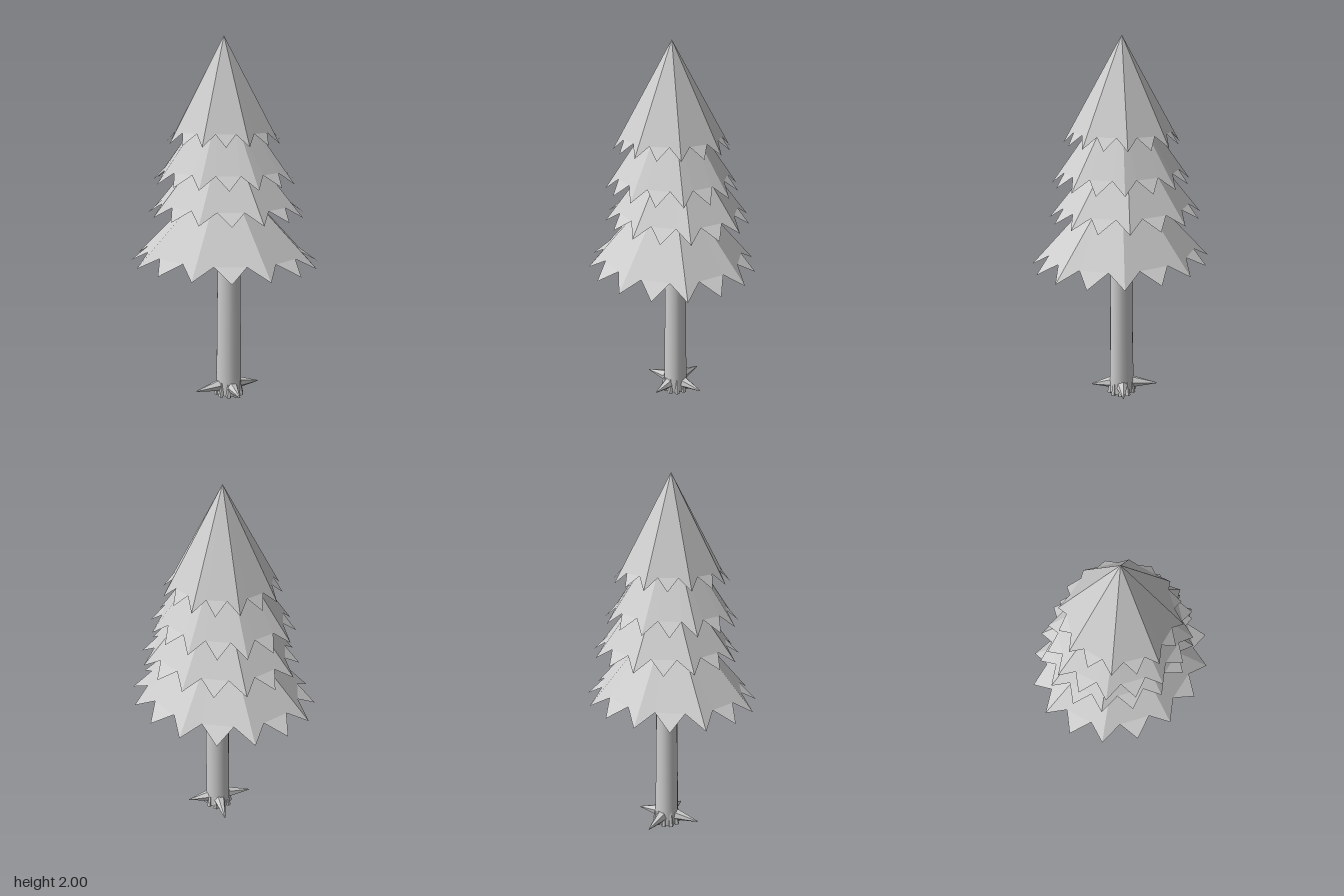
import * as THREE from 'three';

const grey = new THREE.MeshStandardMaterial({ color: 0xcccccc, side: THREE.DoubleSide });
grey.name = 'pale grey';
const greyFlat = grey; // the only colour

function addMesh(parent, geometry, name) {
  const mesh = new THREE.Mesh(geometry, greyFlat);
  mesh.name = name;
  parent.add(mesh);
  return mesh;
}

// Eight-sided open skirt with sixteen pointed tips on its rim
function skirt({ topY, topR, rimY, rx, rz, cz = 0, valleyY, valleyR }) {
  const pos = [];
  const ring = (k, r, y) => {
    const a = (k * Math.PI) / 16;
    return [Math.sin(a) * r * rx, y, cz + Math.cos(a) * r * rz];
  };
  const tri = (...pts) => pts.forEach((p) => pos.push(...p));
  for (let k = 0; k < 32; k += 4) {
    const top0 = ring(k, topR, topY), top1 = ring(k + 4, topR, topY);
    const tip0 = ring(k, 1, rimY), tip1 = ring(k + 4, 1, rimY);
    const mid = ring(k + 2, 1, rimY);
    const v0 = ring(k + 1, valleyR, valleyY), v1 = ring(k + 3, valleyR, valleyY);
    tri(top0, tip0, v0);
    tri(top0, v0, v1);
    tri(v0, mid, v1);
    if (topR > 0) {
      tri(top0, v1, top1);
      tri(top1, v1, tip1);
    } else tri(top0, v1, tip1);
  }
  const g = new THREE.BufferGeometry();
  g.setAttribute('position', new THREE.Float32BufferAttribute(pos, 3));
  g.computeVertexNormals();
  return g;
}

// Tapered straight limb between two points
function limb(a, b, ra, rb, sides = 6) {
  const from = new THREE.Vector3(...a), to = new THREE.Vector3(...b);
  const dir = to.clone().sub(from);
  const g = new THREE.CylinderGeometry(rb, ra, dir.length(), sides).toNonIndexed();
  g.applyQuaternion(new THREE.Quaternion().setFromUnitVectors(new THREE.Vector3(0, 1, 0), dir.normalize()));
  g.translate(...from.add(to).multiplyScalar(0.5).toArray());
  g.computeVertexNormals();
  return g;
}

export function createModel() {
  const model = new THREE.Group();
  model.name = 'pineTree';

  // Foliage, top to bottom
  const foliage = new THREE.Group();
  foliage.name = 'foliage';
  model.add(foliage);
  [
    { topY: 2, topR: 0, rimY: 1.45, rx: 0.31, rz: 0.31, valleyY: 1.51, valleyR: 0.84 },
    { topY: 1.63, topR: 0.25, rimY: 1.24, rx: 0.395, rz: 0.355, valleyY: 1.305, valleyR: 0.83 },
    { topY: 1.45, topR: 0.23, rimY: 1.06, rx: 0.435, rz: 0.39, cz: -0.03, valleyY: 1.12, valleyR: 0.83 },
    { topY: 1.2, topR: 0.23, rimY: 0.795, rx: 0.525, rz: 0.46, valleyY: 0.86, valleyR: 0.825 },
  ].forEach((tier, i) => addMesh(foliage, skirt(tier), `foliageTier${i + 1}`));

  // Trunk, slightly tapered and wider in x than in z
  const cx = 0.023, cz = -0.018;
  const trunk = new THREE.CylinderGeometry(0.06, 0.073, 1.23, 18, 1);
  trunk.scale(1, 1, 0.9).translate(cx, 0.625, cz);
  addMesh(model, trunk, 'trunk');

  // Four long roots
  const roots = new THREE.Group();
  roots.name = 'roots';
  model.add(roots);
  [[0.135, 0.11], [-0.12, 0.12], [0.155, -0.14], [-0.11, -0.17]].forEach(([x, z]) => {
    const mx = cx + (x - cx) * 0.3, mz = cz + (z - cz) * 0.3;
    addMesh(roots, limb([mx, 0.06, mz], [x, 0.048, z], 0.034, 0.003), 'root');
  });
  // Short toes around the foot
  for (let i = 0; i < 10; i++) {
    const a = ((i + 0.5) / 10) * Math.PI * 2;
    const s = Math.sin(a), c = Math.cos(a);
    addMesh(roots, limb([cx + s * 0.062, 0.1, cz + c * 0.055], [cx + s * 0.074, 0.004, cz + c * 0.068],
      0.008, 0.015, 5), 'rootToe');
  }

  // Broken branches under the foliage
  const branches = new THREE.Group();
  branches.name = 'branches';
  model.add(branches);
  const piece = (a, b, ra, rb) => addMesh(branches, limb(a, b, ra, rb), 'branch');
  piece([cx, 0.84, -0.05], [cx, 0.885, -0.16], 0.022, 0.016);
  piece([cx, 0.88, -0.15], [cx + 0.02, 0.93, -0.23], 0.014, 0.004);
  piece([cx, 0.88, -0.15], [cx - 0.02, 0.9, -0.22], 0.012, 0.004);
  piece([cx, 0.82, 0.02], [cx, 0.835, 0.15], 0.02, 0.014);
  piece([cx, 0.83, 0.145], [cx, 0.94, 0.25], 0.014, 0.004);

  return model;
}
